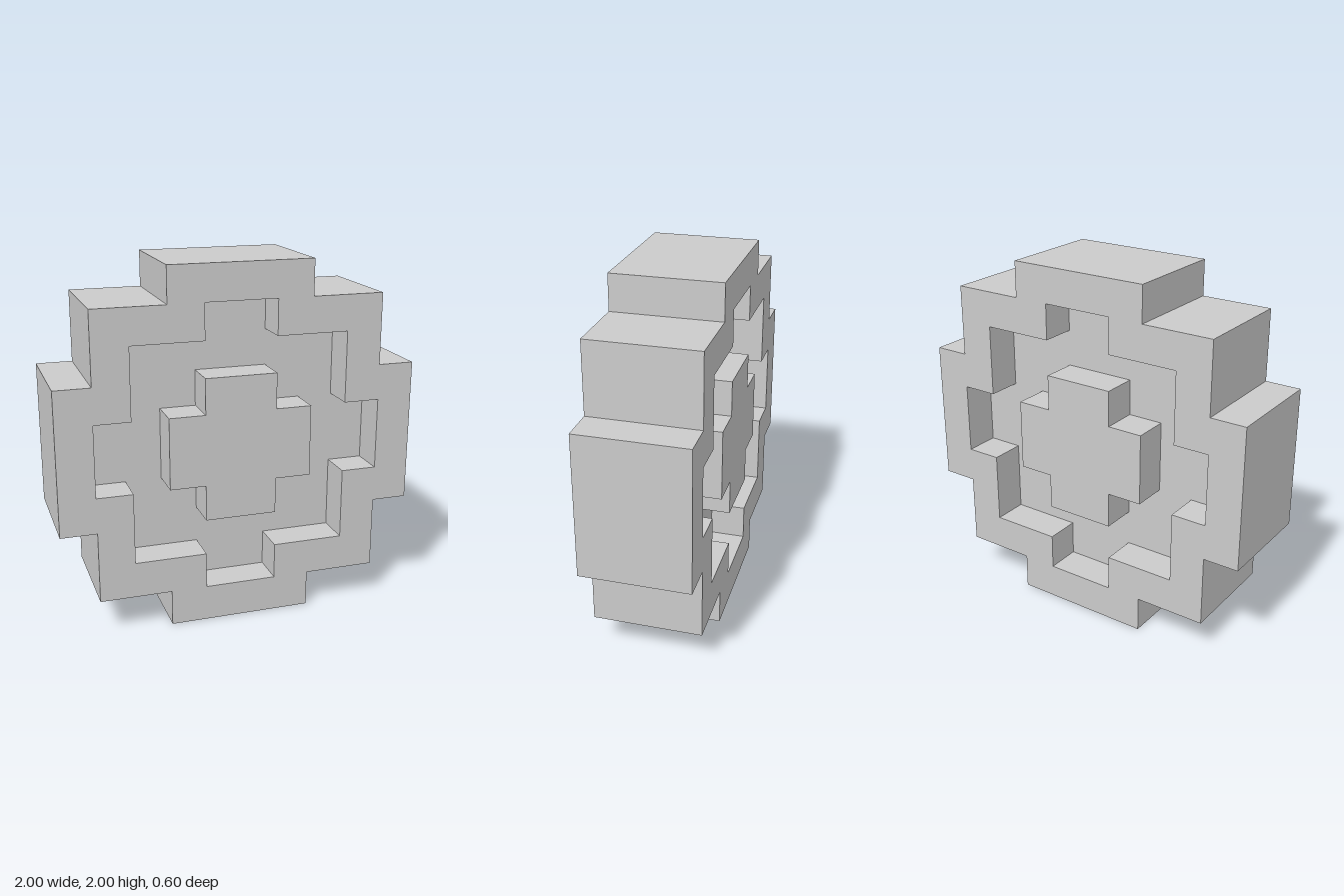
import * as THREE from 'three';

// Stepped outline: one quadrant's corners, turned through four quarters
function steppedPoints(quadrant) {
  const points = [];
  for (let q = 0; q < 4; q++) {
    for (const [x, y] of quadrant) {
      const [px, py] = [[x, y], [-y, x], [-x, -y], [y, -x]][q];
      points.push(new THREE.Vector2(px, py));
    }
  }
  return points;
}

export function createModel() {
  const group = new THREE.Group();
  group.name = 'blockWheel';
  const material = new THREE.MeshStandardMaterial({ color: 0xcccccc, flatShading: true });

  // Extrude a shape centred on z = 0, with the wheel axis at y = 1
  function addPart(name, shape, depth) {
    const geometry = new THREE.ExtrudeGeometry(shape, { depth, bevelEnabled: false });
    geometry.translate(0, 1, -depth / 2);
    const mesh = new THREE.Mesh(geometry, material);
    mesh.name = name;
    group.add(mesh);
  }

  // Quadrant corners, counter-clockwise from the +x side
  const tyreOutline = steppedPoints([[1, 0.4], [0.8, 0.4], [0.8, 0.8], [0.4, 0.8], [0.4, 1]]);
  const recessOutline = steppedPoints([[0.8, 0.2], [0.6, 0.2], [0.6, 0.6], [0.2, 0.6], [0.2, 0.8]]);
  const hubOutline = steppedPoints([[0.4, 0.2], [0.2, 0.2], [0.2, 0.4]]);

  // Outer tyre with a stepped opening
  const tyre = new THREE.Shape(tyreOutline);
  tyre.holes.push(new THREE.Path(recessOutline));
  addPart('tyre', tyre, 0.6);

  // Thin recessed disc filling the opening
  addPart('wheelDisc', new THREE.Shape(recessOutline), 0.2);

  // Cross-shaped hub, flush with the tyre on both faces
  addPart('hub', new THREE.Shape(hubOutline), 0.6);

  return group;
}
